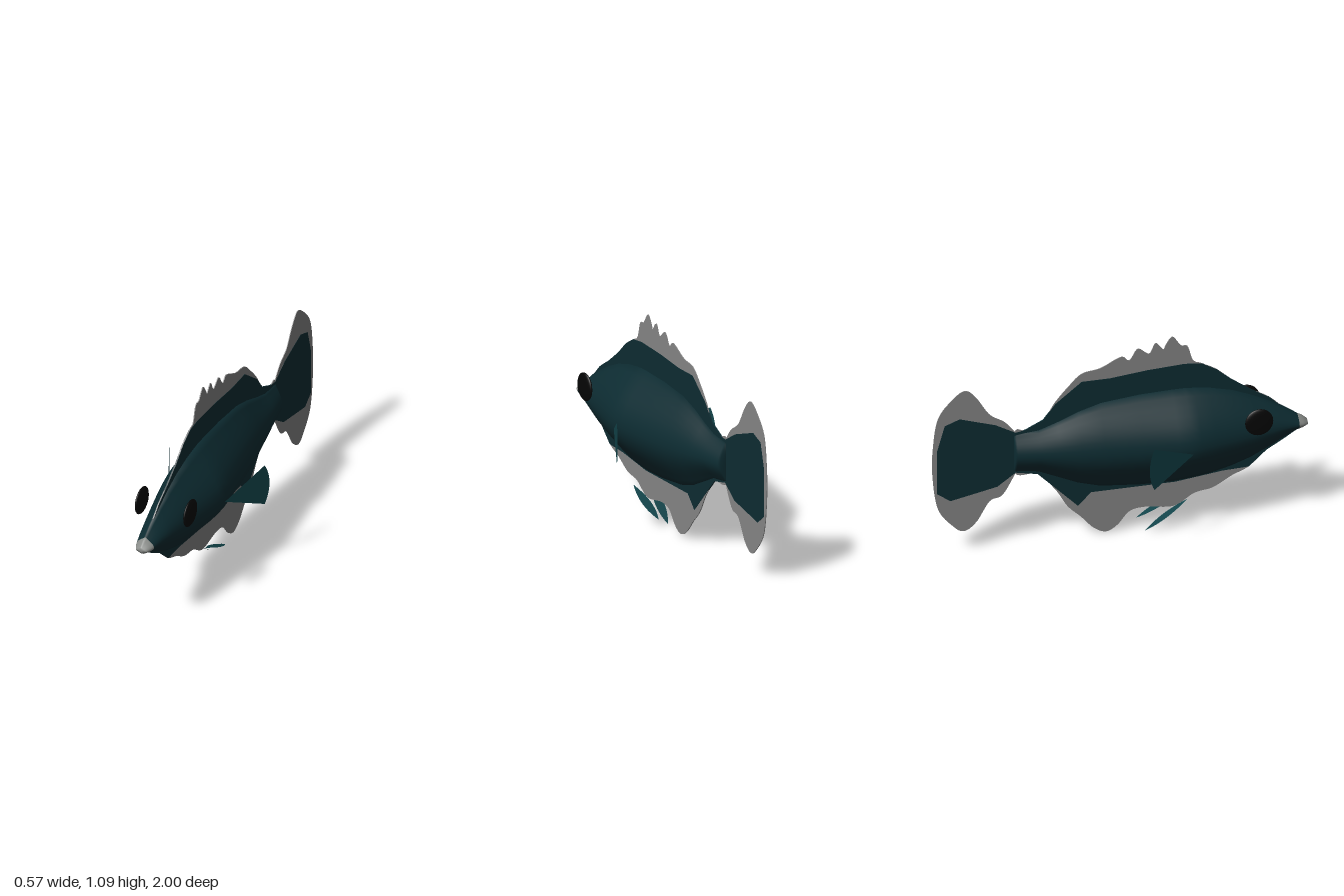
import * as THREE from 'three';

const mat = (color) => new THREE.MeshStandardMaterial({ color, side: THREE.DoubleSide });
const scales = mat(0x0d2c32), membrane = mat(0x858585), teal = mat(0x12444a);
const pale = mat(0x8a8d8a), black = mat(0x050505);

function addMesh(parent, name, geometry, material) {
  const mesh = new THREE.Mesh(geometry, material);
  mesh.name = name;
  parent.add(mesh);
  return mesh;
}

// Loft of pointed lens sections; stations are [z, top, bottom, halfWidth]
function loft(stations, steps = 14) {
  const pos = [], index = [], n = steps * 2;
  for (const [z, top, bottom, w] of stations) {
    const mid = bottom + (top - bottom) * 0.47;
    for (let k = 0; k < n; k++) {
      const side = k < steps ? 1 : -1;
      const t = (k < steps ? k : n - k) / steps * 2 - 1;
      const y = mid + t * (t > 0 ? top - mid : mid - bottom);
      pos.push(side * w * Math.pow(Math.max(0, Math.cos(t * Math.PI / 2)), 1.12), y, z);
    }
  }
  for (let i = 0; i < stations.length - 1; i++) {
    for (let k = 0; k < n; k++) {
      const a = i * n + k, b = i * n + (k + 1) % n, c = a + n, d = b + n;
      index.push(a, c, b, b, c, d);
    }
  }
  const g = new THREE.BufferGeometry();
  g.setAttribute('position', new THREE.Float32BufferAttribute(pos, 3));
  g.setIndex(index);
  g.computeVertexNormals();
  return g;
}

// Thin sheet in the middle plane from a [z, y] outline
function sheet(points, thickness, smooth = true) {
  const v = points.map(([z, y]) => new THREE.Vector2(z, y));
  const shape = new THREE.Shape();
  shape.moveTo(v[0].x, v[0].y);
  if (smooth) shape.splineThru(v.slice(1));
  else v.slice(1).forEach((p) => shape.lineTo(p.x, p.y));
  const g = new THREE.ExtrudeGeometry(shape, { depth: thickness, bevelEnabled: false, curveSegments: 4 * points.length });
  return g.translate(0, 0, -thickness / 2).rotateY(-Math.PI / 2);
}

// Flat pointed leaf running from root to tip
function leaf(root, tip, width) {
  const dir = tip.clone().sub(root), len = dir.length();
  const s = new THREE.Shape();
  s.moveTo(0, 0);
  s.quadraticCurveTo(width, len * 0.55, 0, len);
  s.quadraticCurveTo(-width, len * 0.55, 0, 0);
  dir.normalize();
  const normal = new THREE.Vector3(1, 0, 0).cross(dir).normalize();
  const m = new THREE.Matrix4().makeBasis(dir.clone().cross(normal), dir, normal).setPosition(root);
  return new THREE.ShapeGeometry(s, 10).applyMatrix4(m);
}

export function createModel() {
  const fish = new THREE.Group();
  fish.name = 'fish';

  // Body and lips
  addMesh(fish, 'lips', loft([
    [1.0, 0.51, 0.5, 0], [1.0, 0.525, 0.49, 0.03], [0.97, 0.55, 0.47, 0.045], [0.95, 0.56, 0.465, 0.05],
  ]), pale);
  addMesh(fish, 'body', loft([
    [0.95, 0.56, 0.465, 0.05], [0.88, 0.61, 0.43, 0.066], [0.8, 0.66, 0.385, 0.083],
    [0.7, 0.71, 0.335, 0.104], [0.6, 0.75, 0.3, 0.124], [0.48, 0.78, 0.27, 0.148],
    [0.4, 0.79, 0.26, 0.161], [0.35, 0.795, 0.255, 0.164], [0.28, 0.795, 0.25, 0.16],
    [0.1, 0.79, 0.255, 0.139], [-0.1, 0.77, 0.275, 0.114], [-0.22, 0.735, 0.31, 0.096],
    [-0.33, 0.69, 0.36, 0.081], [-0.43, 0.655, 0.405, 0.066], [-0.55, 0.645, 0.42, 0.046],
    [-0.56, 0.64, 0.425, 0.036], [-0.56, 0.6, 0.47, 0],
  ]), scales);

  // Clear dorsal, belly and anal fins, with the scaled area inside them
  const head = [[0.99, 0.505], [0.93, 0.555], [0.88, 0.6], [0.8, 0.675], [0.7, 0.735], [0.6, 0.805], [0.52, 0.875], [0.44, 0.92]];
  const jaw = [[0.69, 0.285], [0.785, 0.37], [0.88, 0.425], [0.99, 0.495]];
  const stem = [[-0.405, 0.705], [-0.5, 0.66], [-0.557, 0.65], [-0.557, 0.42], [-0.435, 0.395]];
  addMesh(fish, 'bodyFins', sheet([
    ...head,
    [0.395, 0.945], [0.365, 1.03], [0.33, 1.04], [0.285, 1.095], [0.25, 1.055], [0.235, 1.03], [0.195, 1.07],
    [0.16, 1.015], [0.1, 1.05], [0.055, 0.99], [0.01, 1.015], [-0.1, 0.965], [-0.2, 0.945], [-0.275, 0.875], [-0.34, 0.8],
    ...stem,
    [-0.34, 0.29], [-0.275, 0.185], [-0.205, 0.115], [-0.135, 0.04], [-0.07, 0.01], [-0.01, 0.04], [0.055, 0.11],
    [0.14, 0.125], [0.29, 0.11], [0.4, 0.17], [0.5, 0.19], [0.6, 0.245],
    ...jaw,
  ], 0.005), membrane);
  addMesh(fish, 'finBases', sheet([
    ...head, [0.35, 0.93], [0.15, 0.92], [-0.05, 0.9], [-0.2, 0.9], [-0.34, 0.79],
    ...stem, [-0.33, 0.29], [-0.22, 0.18], [-0.15, 0.25], [0.1, 0.25], [0.3, 0.25], [0.55, 0.28],
    ...jaw,
  ], 0.008, false), scales);

  // Tail fin
  addMesh(fish, 'tailFin', sheet([
    [-0.55, 0.65], [-0.61, 0.72], [-0.69, 0.775], [-0.76, 0.88], [-0.82, 0.93], [-0.89, 0.885], [-0.965, 0.785],
    [-0.992, 0.62], [-0.995, 0.46], [-0.965, 0.26], [-0.885, 0.15], [-0.825, 0.115], [-0.76, 0.16], [-0.69, 0.27],
    [-0.62, 0.3], [-0.55, 0.42],
  ], 0.004), membrane);
  addMesh(fish, 'tailFinBase', sheet([
    [-0.55, 0.65], [-0.66, 0.71], [-0.85, 0.77], [-0.93, 0.74], [-0.97, 0.6], [-0.97, 0.35],
    [-0.9, 0.3], [-0.65, 0.35], [-0.55, 0.42],
  ], 0.007, false), scales);

  // Eyes and fan-shaped pectoral fins, mirrored
  for (const [label, s] of [['left', 1], ['right', -1]]) {
    const eye = addMesh(fish, label + 'Eye', new THREE.SphereGeometry(0.075, 24, 16), black);
    eye.scale.x = 0.22;
    eye.position.set(s * 0.139, 0.61, 0.71);

    const fan = new THREE.CircleGeometry(0.295, 12, -0.47, 0.94).scale(1, 0.88, 1).rotateY(1.137);
    if (s < 0) fan.rotateZ(Math.PI);
    const fin = addMesh(fish, label + 'PectoralFin', fan, teal);
    fin.position.set(s * 0.163, 0.482, 0.355);
  }

  // Pelvic fins, hanging at slightly different angles
  const V = (x, y, z) => new THREE.Vector3(x, y, z);
  addMesh(fish, 'leftPelvicFin', leaf(V(0.05, 0.167, 0.35), V(0.038, 0.045, 0.1), 0.052), teal);
  addMesh(fish, 'rightPelvicFin', leaf(V(-0.052, 0.167, 0.35), V(-0.032, 0.003, 0.13), 0.052), teal);

  return fish;
}
